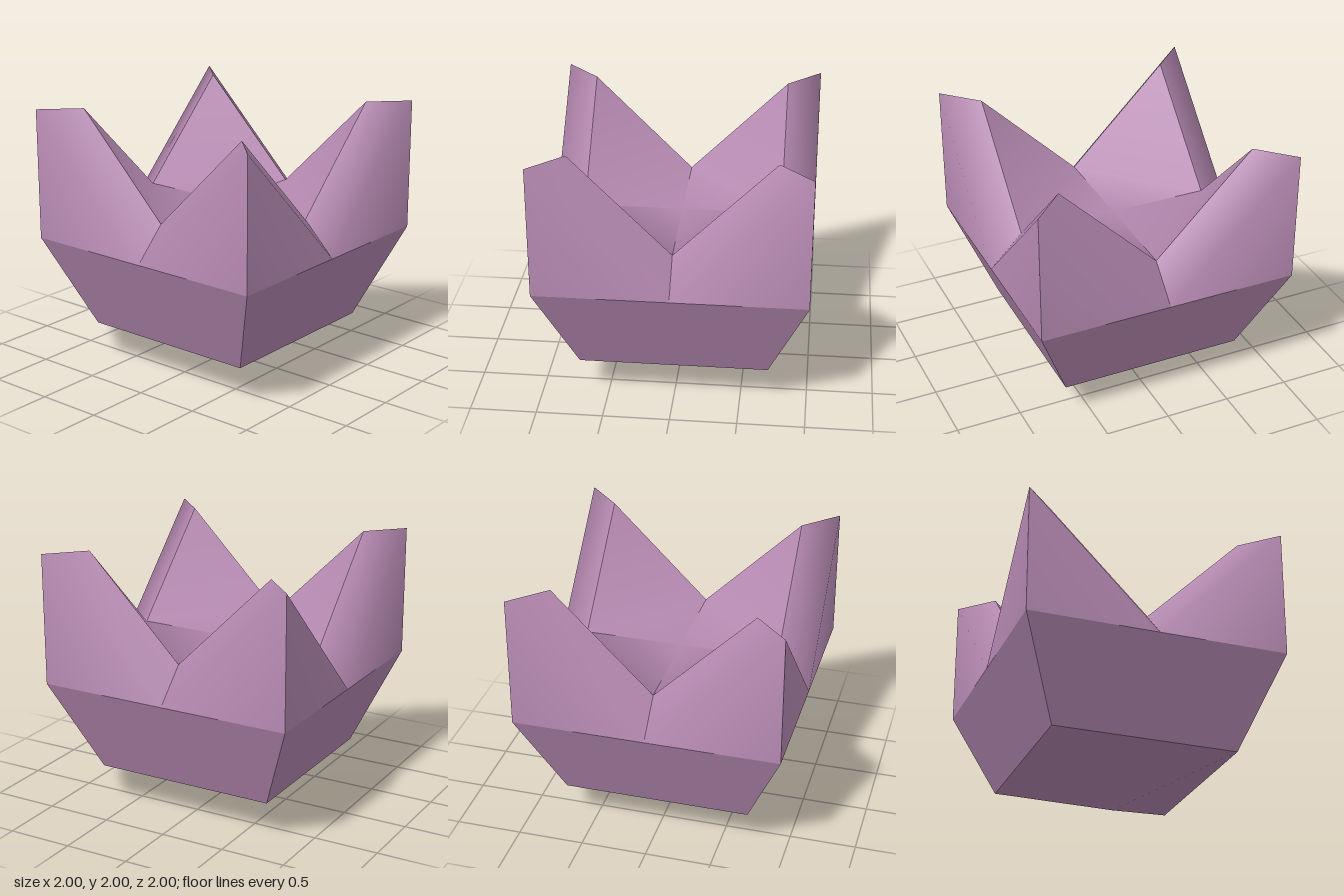
import * as THREE from 'three';

const COLOR = 0xb488b0;

// Small smooth surface from corner points and triangles
function skin(name, points, faces, material) {
  const g = new THREE.BufferGeometry();
  g.setAttribute('position', new THREE.Float32BufferAttribute(points.flat(), 3));
  g.setIndex(faces.flat());
  g.computeVertexNormals();
  const mesh = new THREE.Mesh(g, material);
  mesh.name = name;
  return mesh;
}

// Four-sided tapered ring with its flat sides facing the axes
function squareTaper(name, halfTop, halfBottom, y0, y1, material) {
  const g = new THREE.CylinderGeometry(
    halfTop * Math.SQRT2, halfBottom * Math.SQRT2, y1 - y0, 4, 1, true, Math.PI / 4);
  g.translate(0, (y0 + y1) / 2, 0);
  const mesh = new THREE.Mesh(g, material);
  mesh.name = name;
  return mesh;
}

export function createModel() {
  const group = new THREE.Group();
  group.name = 'petalBowl';
  const smooth = new THREE.MeshStandardMaterial({ color: COLOR });
  const flat = new THREE.MeshStandardMaterial({ color: COLOR, flatShading: true });

  // Faceted bowl: pointed tip and flared sides
  group.add(squareTaper('bowlTip', Math.SQRT1_2, 0, 0, 0.293, flat));
  group.add(squareTaper('bowlSides', 1, Math.SQRT1_2, 0.293, 1, flat));

  // Half of one wall: upright triangle plus the bevelled rim above it
  const wall = [[0, 1, 1], [1, 1, 1], [1, 2, 1], [0.75, 2, 0.75], [0, 1.25, 0.75]];
  const wallFaces = [[0, 1, 2], [0, 2, 3], [0, 3, 4]];
  const mirrored = wall.map(([x, y, z]) => [z, y, x]);
  const mirroredFaces = wallFaces.map(([a, b, c]) => [a, c, b]);

  // Inner side of one corner: leaning face and its quarter of the floor
  const inner = [[0, 1.25, 0], [0, 1.25, 0.75], [0.75, 1.25, 0], [0.75, 2, 0.75]];
  const innerFaces = [[0, 1, 2], [1, 3, 2]];

  // Four corner petals
  for (let i = 0; i < 4; i++) {
    const petal = new THREE.Group();
    petal.name = 'cornerPetal';
    petal.add(skin('petalOuterWall', wall, wallFaces, smooth));
    petal.add(skin('petalOuterWallMirrored', mirrored, mirroredFaces, smooth));
    petal.add(skin('petalInside', inner, innerFaces, smooth));
    petal.rotation.y = i * Math.PI / 2;
    group.add(petal);
  }
  return group;
}
